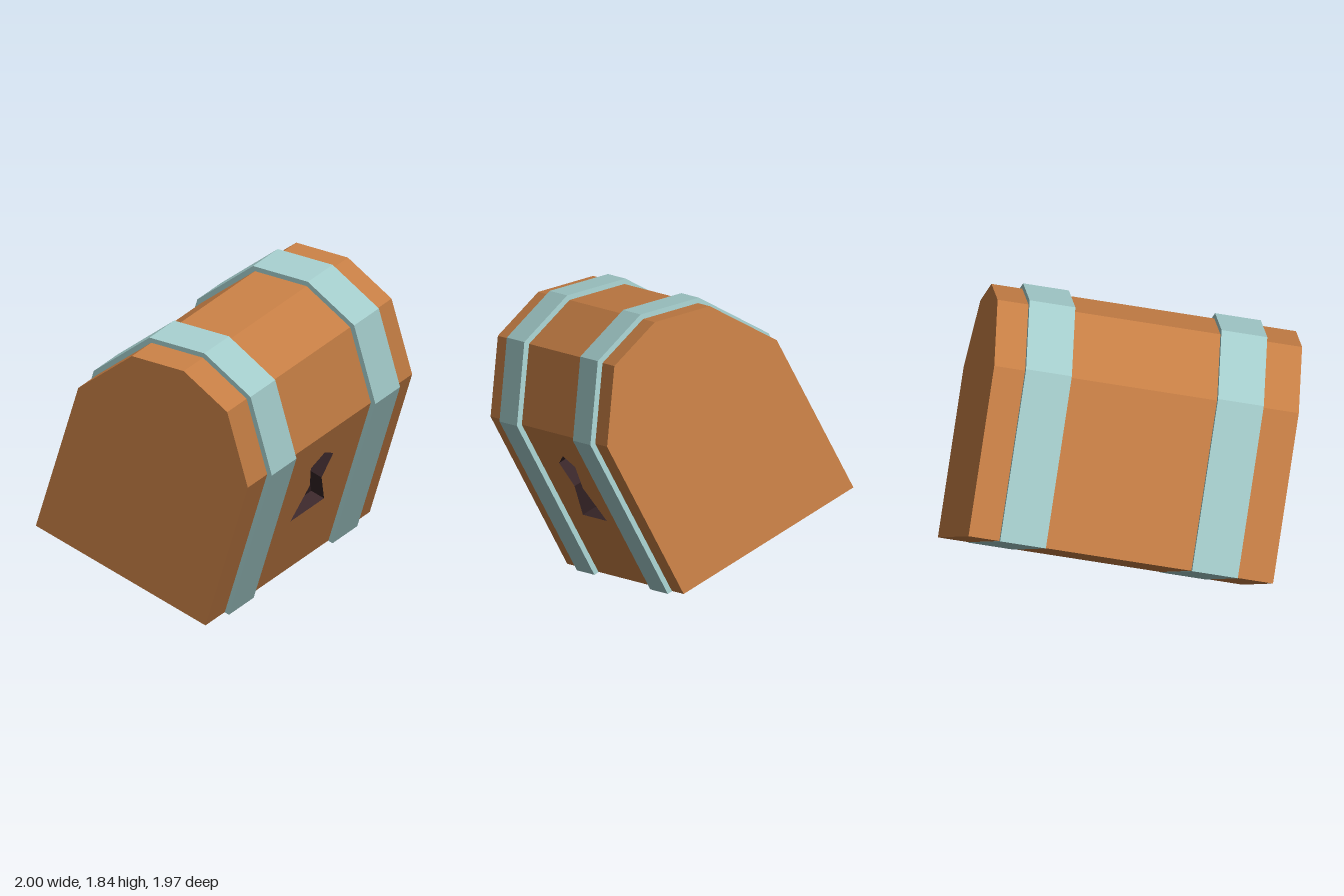
import * as THREE from 'three';

const wood = new THREE.MeshStandardMaterial({ color: 0xc47d44 });
wood.name = 'wood';
const metal = new THREE.MeshStandardMaterial({ color: 0xa2cac9 });
metal.name = 'paleMetal';
const dark = new THREE.MeshStandardMaterial({ color: 0x3a272a, side: THREE.DoubleSide });
dark.name = 'darkKeyhole';

const LENGTH = 1.677, DEPTH = 1.123, WALL = 0.928;

// Chest cross-section as [depth from front, height]
const chestProfile = [
  [0, 0], [DEPTH, 0], [DEPTH, WALL], [DEPTH - 0.246, WALL + 0.362],
  [DEPTH / 2, WALL + 0.45], [0.246, WALL + 0.362], [0, WALL],
];
// The same section, a little larger, for the bands
const T = 0.028;
const bandProfile = [
  [-T, -0.002], [DEPTH + T, -0.002], [DEPTH + T, WALL + 0.008], [DEPTH - 0.246 + 0.019, WALL + 0.362 + 0.023],
  [DEPTH / 2, WALL + 0.45 + 0.029], [0.246 - 0.019, WALL + 0.362 + 0.023], [-T, WALL + 0.008],
];

const toShape = (pts) => new THREE.Shape(pts.map(([x, y]) => new THREE.Vector2(x, y)));

// Extrude a cross-section along x, with its front at z = 0
function slab(profile, x, width) {
  const g = new THREE.ExtrudeGeometry(toShape(profile), { depth: width, bevelEnabled: false });
  return g.rotateY(Math.PI / 2).translate(x, 0, 0);
}

// Remove the triangles that face straight forward
function dropFrontFaces(geometry) {
  const src = geometry.index ? geometry.toNonIndexed() : geometry;
  const pos = src.attributes.position, nor = src.attributes.normal;
  const p = [], n = [];
  for (let i = 0; i < pos.count; i += 3) {
    if (nor.getZ(i) > 0.99) continue;
    for (let k = i; k < i + 3; k++) {
      p.push(pos.getX(k), pos.getY(k), pos.getZ(k));
      n.push(nor.getX(k), nor.getY(k), nor.getZ(k));
    }
  }
  const out = new THREE.BufferGeometry();
  out.setAttribute('position', new THREE.Float32BufferAttribute(p, 3));
  out.setAttribute('normal', new THREE.Float32BufferAttribute(n, 3));
  return out;
}

export function createModel() {
  const model = new THREE.Group();
  model.name = 'treasureChest';
  const chest = new THREE.Group();
  chest.name = 'tiltedChest';
  model.add(chest);

  const add = (name, geometry, material) => {
    const mesh = new THREE.Mesh(geometry, material);
    mesh.name = name;
    chest.add(mesh);
  };

  // Body and faceted lid, open at the front wall
  add('bodyAndLid', dropFrontFaces(slab(chestProfile, 0, LENGTH)), wood);

  // Front wall with the keyhole cut out
  const keyPoints = [
    [0.686, 0.387], [1.03, 0.387], [0.915, 0.58], [0.97, 0.72],
    [0.858, 0.775], [0.74, 0.72], [0.795, 0.58],
  ];
  const wall = toShape([[0, 0], [LENGTH, 0], [LENGTH, WALL], [0, WALL]]);
  wall.holes.push(toShape(keyPoints));
  add('frontWall', new THREE.ShapeGeometry(wall), wood);

  // Keyhole recess: back and side walls only
  const recess = new THREE.ExtrudeGeometry(toShape(keyPoints), { depth: 0.085, bevelEnabled: false });
  add('keyhole', dropFrontFaces(recess.translate(0, 0, -0.085)), dark);

  // Metal bands around the chest
  [0.198, 1.255].forEach((x, i) => {
    add(i ? 'leftBand' : 'rightBand', slab(bandProfile, x, 0.252), metal);
  });

  // Tilt the chest: length, up and front axes, resting on one corner
  const along = new THREE.Vector3(1.51, 0.33, -0.65).normalize();
  const front = along.clone().cross(new THREE.Vector3(0, 0.897, 0.443)).normalize();
  const up = front.clone().cross(along);
  const tilt = new THREE.Matrix4().makeBasis(along, up, front);
  chest.quaternion.setFromRotationMatrix(tilt);
  chest.position.set(-0.51, 0, 0.57);
  return model;
}
